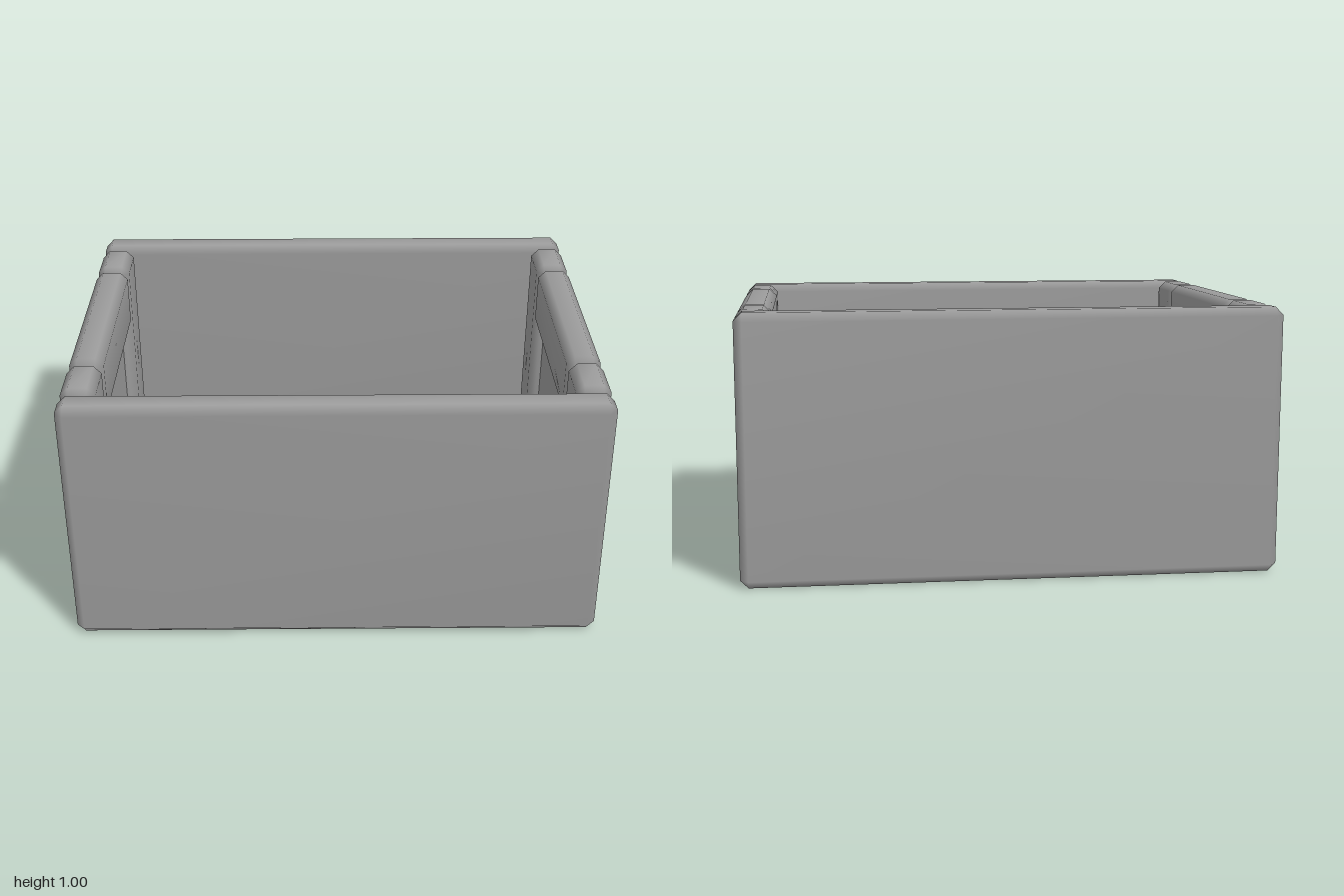
import * as THREE from 'three';
import { mergeVertices } from 'three/addons/utils/BufferGeometryUtils.js';
import { ConvexGeometry } from 'three/addons/geometries/ConvexGeometry.js';

const material = new THREE.MeshStandardMaterial({ color: 0x9b9b9b });

// Box with bevelled edges and corners, softly shaded across the bevels
function bevelledBox(w, h, d, bevel = 0.03) {
  const points = [];
  for (const sx of [-1, 1]) for (const sy of [-1, 1]) for (const sz of [-1, 1]) {
    for (let axis = 0; axis < 3; axis++) {
      const half = [w, h, d].map((s, i) => s / 2 - (i === axis ? 0 : bevel));
      points.push(new THREE.Vector3(sx * half[0], sy * half[1], sz * half[2]));
    }
  }
  const hull = new ConvexGeometry(points);
  hull.deleteAttribute('normal');
  const geometry = mergeVertices(hull, 1e-4);
  geometry.computeVertexNormals();
  return geometry;
}

export function createModel() {
  const crate = new THREE.Group();
  crate.name = 'crate';

  const add = (name, geometry, x, y, z) => {
    const mesh = new THREE.Mesh(geometry, material);
    mesh.name = name;
    mesh.position.set(x, y, z);
    crate.add(mesh);
  };

  // Full-width boards at front and back
  const board = bevelledBox(2, 1, 0.13);
  add('frontBoard', board, 0, 0.5, 0.715);
  add('backBoard', board, 0, 0.5, -0.715);

  // Each end: two posts, two rails and a thin recessed panel
  const post = bevelledBox(0.13, 1, 0.23);
  const rail = bevelledBox(0.13, 0.25, 0.84);
  const panel = new THREE.BoxGeometry(0.02, 0.56, 0.88);
  for (const [side, s] of [['left', 1], ['right', -1]]) {
    const x = s * 0.935;
    add(side + 'FrontPost', post, x, 0.5, 0.535);
    add(side + 'BackPost', post, x, 0.5, -0.535);
    add(side + 'TopRail', rail, x, 0.875, 0);
    add(side + 'BottomRail', rail, x, 0.125, 0);
    add(side + 'Panel', panel, s * 0.927, 0.5, 0);
  }

  // Floor raised above the bottom edge
  add('floor', new THREE.BoxGeometry(1.74, 0.03, 1.235), 0, 0.125, 0);

  return crate;
}
